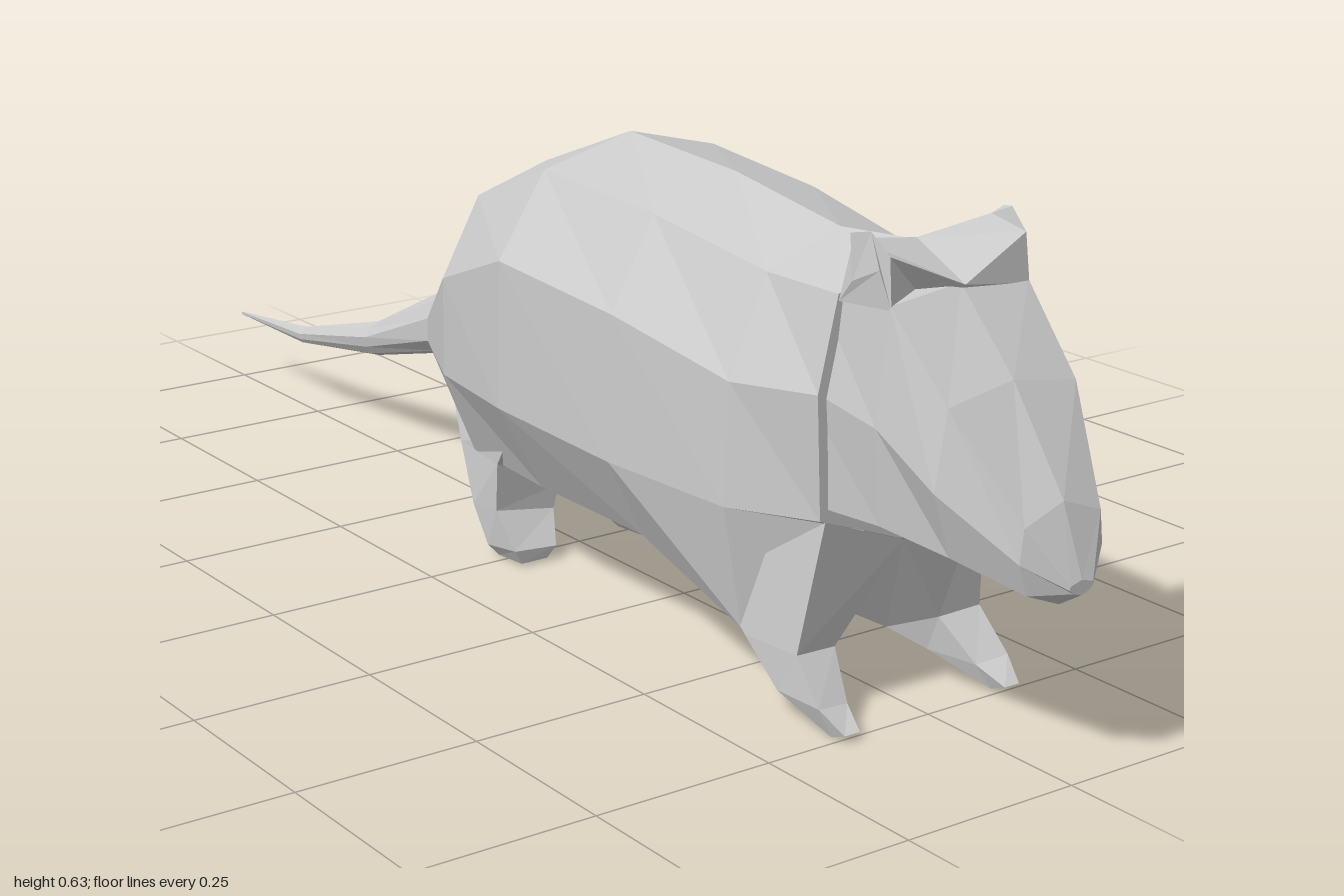
import * as THREE from 'three';

const material = new THREE.MeshStandardMaterial({ color: 0xcccccc, flatShading: true });

// Skins a list of closed rings (each clockwise seen from the first end) and caps both ends.
function loft(rings, name) {
  const out = [];
  const n = rings[0].length;
  const tri = (a, b, c) => out.push(...a, ...b, ...c);
  for (let i = 0; i < rings.length - 1; i++) {
    const a = rings[i], b = rings[i + 1];
    for (let j = 0; j < n; j++) {
      const k = (j + 1) % n;
      tri(a[j], a[k], b[k]);
      tri(a[j], b[k], b[j]);
    }
  }
  const first = rings[0], last = rings[rings.length - 1];
  for (let j = 1; j < n - 1; j++) {
    tri(first[0], first[j + 1], first[j]);
    tri(last[0], last[j], last[j + 1]);
  }
  const geometry = new THREE.BufferGeometry();
  geometry.setAttribute('position', new THREE.Float32BufferAttribute(out, 3));
  geometry.computeVertexNormals();
  const mesh = new THREE.Mesh(geometry, material);
  mesh.name = name;
  return mesh;
}

// Symmetric ring at z: half outline [x, y] from top centre to bottom centre.
function ring(z, ...half) {
  const left = half.map(([x, y]) => [x, y, z]);
  const right = half.slice(1, -1).reverse().map(([x, y]) => [-x, y, z]);
  return [...left, ...right];
}

// Mirrors rings across x = 0, keeping the winding.
const mirror = (rings) => rings.map((r) => r.map(([x, y, z]) => [-x, y, z]).reverse());

export function createModel() {
  const group = new THREE.Group();

  // Ring shared by the trunk and the tail
  const tailRoot = ring(-0.34, [0, 0.302], [0.025, 0.288], [0.04, 0.26], [0.04, 0.225], [0.025, 0.207], [0, 0.2]);

  // Trunk: top, back edge, upper flank, lower flank, belly edge, belly centre
  group.add(loft([
    ring(0.69, [0, 0.592], [0.11, 0.54], [0.138, 0.42], [0.13, 0.26], [0.06, 0.235], [0, 0.212]),
    ring(0.56, [0, 0.58], [0.115, 0.54], [0.17, 0.41], [0.175, 0.25], [0.145, 0.085], [0, 0.083]),
    ring(0.35, [0, 0.61], [0.13, 0.572], [0.195, 0.45], [0.2, 0.255], [0.145, 0.145], [0, 0.088]),
    ring(0.12, [0, 0.622], [0.14, 0.587], [0.213, 0.473], [0.216, 0.27], [0.145, 0.145], [0, 0.092]),
    ring(-0.08, [0, 0.545], [0.115, 0.51], [0.175, 0.4], [0.175, 0.26], [0.125, 0.14], [0, 0.13]),
    tailRoot,
  ], 'body'));

  // Tail
  group.add(loft([
    tailRoot,
    ring(-0.55, [0, 0.2], [0.015, 0.192], [0.025, 0.178], [0.022, 0.162], [0.014, 0.15], [0, 0.145]),
    ring(-0.78, [0, 0.137], [0.008, 0.134], [0.013, 0.127], [0.012, 0.118], [0.008, 0.112], [0, 0.11]),
    ring(-1, [0, 0.112], [0.001, 0.112], [0.001, 0.111], [0.001, 0.109], [0.001, 0.108], [0, 0.108]),
  ], 'tail'));

  // Head, nose first: brow ridge, forehead edge, cheek, jaw edge, jaw centre
  group.add(loft([
    ring(1, [0, 0.255], [0.018, 0.25], [0.018, 0.245], [0.012, 0.24], [0, 0.236]),
    ring(0.965, [0, 0.34], [0.06, 0.318], [0.065, 0.275], [0.052, 0.235], [0, 0.214]),
    ring(0.875, [0, 0.462], [0.1, 0.445], [0.117, 0.345], [0.09, 0.262], [0, 0.224]),
    ring(0.78, [0, 0.557], [0.108, 0.545], [0.125, 0.4], [0.115, 0.278], [0, 0.236]),
    ring(0.64, [0, 0.58], [0.1, 0.53], [0.125, 0.42], [0.12, 0.27], [0, 0.245]),
  ], 'head'));

  // Ears: wedges rising from the brow to the outer tips
  const ear = [
    [[0, 0.595, 0.7], [0, 0.556, 0.788], [0, 0.5, 0.75], [0, 0.5, 0.69]],
    [[0.108, 0.612, 0.712], [0.106, 0.602, 0.775], [0.108, 0.54, 0.782], [0.118, 0.535, 0.7]],
    [[0.12, 0.622, 0.72], [0.11, 0.627, 0.745], [0.113, 0.585, 0.765], [0.12, 0.565, 0.725]],
  ];

  // Foreleg: front outer, front inner, back inner, back outer
  const foreLeg = [
    [[0.13, 0.262, 0.7], [0, 0.212, 0.695], [0, 0.084, 0.57], [0.14, 0.13, 0.5]],
    [[0.149, 0.087, 0.675], [0.085, 0.083, 0.67], [0.055, 0.055, 0.605], [0.147, 0.08, 0.57]],
    [[0.154, 0.035, 0.725], [0.105, 0.03, 0.72], [0.085, 0.033, 0.65], [0.15, 0.03, 0.64]],
    [[0.142, 0.01, 0.76], [0.118, 0.01, 0.76], [0.118, 0, 0.735], [0.142, 0, 0.735]],
  ];

  // Hind leg, with its thigh running back to the tail root
  const hindLeg = [
    [[0.15, 0.19, 0.04], [0.03, 0.12, 0.01], [0.01, 0.205, -0.29], [0.05, 0.215, -0.27]],
    [[0.143, 0.145, 0.005], [0.035, 0.095, 0], [0.05, 0.12, -0.14], [0.11, 0.135, -0.14]],
    [[0.142, 0.075, 0], [0.045, 0.06, 0], [0.055, 0.055, -0.06], [0.135, 0.065, -0.07]],
    [[0.137, 0.025, 0.04], [0.068, 0.02, 0.04], [0.07, 0.015, -0.03], [0.137, 0.015, -0.03]],
    [[0.125, 0.004, 0.038], [0.082, 0.004, 0.038], [0.082, 0, -0.02], [0.125, 0, -0.02]],
  ];

  const pairs = { Ear: ear, Foreleg: foreLeg, HindLeg: hindLeg };
  for (const [name, rings] of Object.entries(pairs)) {
    group.add(loft(rings, 'left' + name), loft(mirror(rings), 'right' + name));
  }
  return group;
}
